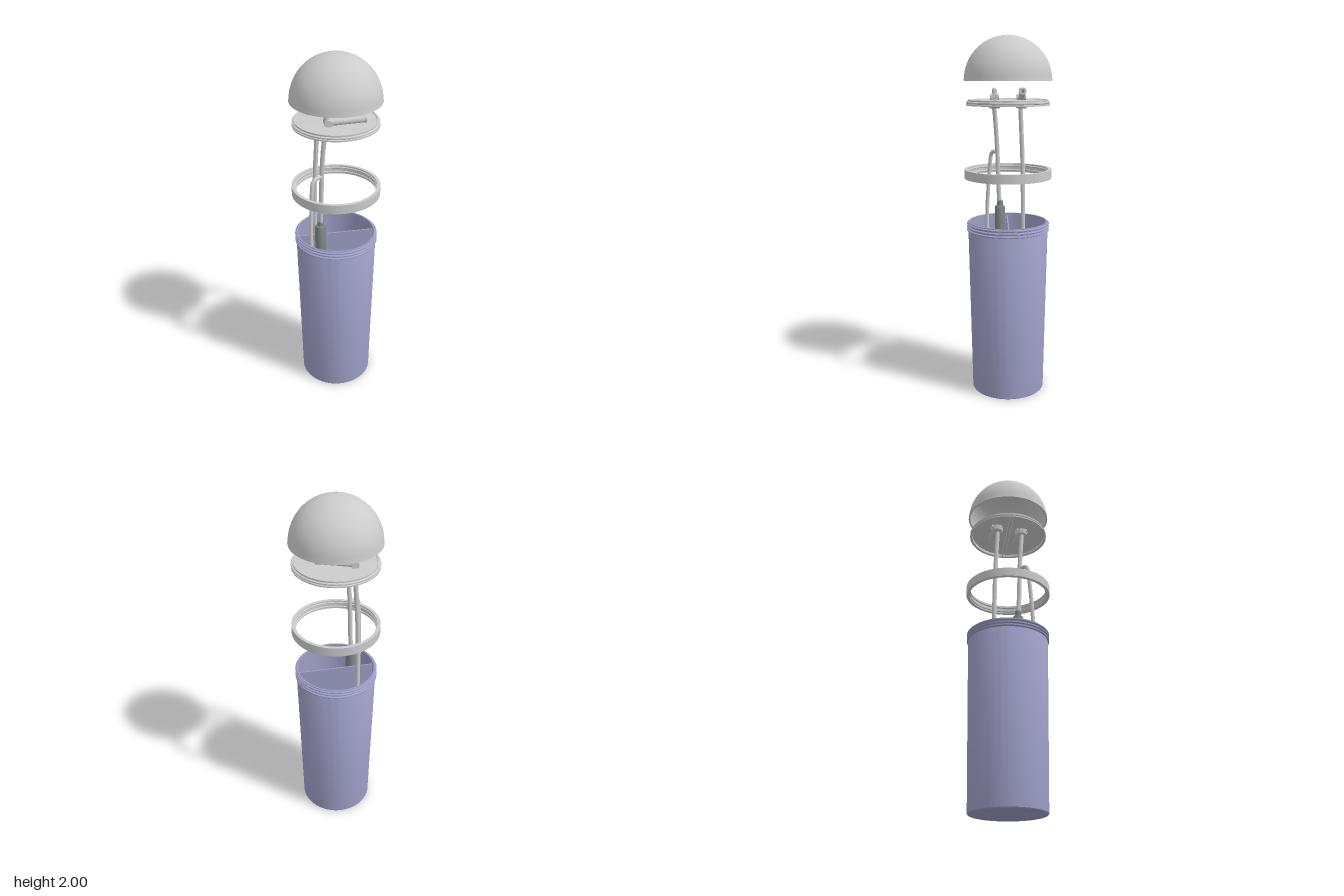
import * as THREE from 'three';
import { toCreasedNormals } from 'three/addons/utils/BufferGeometryUtils.js';

const V = (x, y, z) => new THREE.Vector3(x, y, z);
const grey = new THREE.MeshStandardMaterial({ color: 0xcccccc });
const blue = new THREE.MeshStandardMaterial({ color: 0x9c9cc4 });
const dark = new THREE.MeshStandardMaterial({ color: 0x7c8484 });

export function createModel() {
  const model = new THREE.Group();

  const add = (name, geometry, material = grey, parent = model) => {
    const mesh = new THREE.Mesh(geometry, material);
    mesh.name = name;
    parent.add(mesh);
    return mesh;
  };
  // Profiles run up the outside and down the inside
  const lathe = (points, sides = 72) => toCreasedNormals(
    new THREE.LatheGeometry(points.map(([r, y]) => new THREE.Vector2(r, y)), sides), 0.5);
  const tube = (name, points, radius) => add(name, new THREE.TubeGeometry(
    new THREE.CatmullRomCurve3(points, false, 'centripetal'), 64, radius, 14), grey);

  // Tapered cup with a threaded rim, open at the top
  const thread = [0.945, 0.962, 0.979].flatMap(y => [
    [0.221, y - 0.006], [0.230, y - 0.002], [0.230, y + 0.003], [0.221, y + 0.007]]);
  add('cup', lathe([
    [0, 0], [0.203, 0], [0.206, 0.004], [0.223, 0.935], ...thread,
    [0.221, 0.99], [0.212, 0.99], [0.211, 0.93], [0.195, 0.012], [0, 0.012]]), blue);

  // Wall that splits the cup into two compartments
  const turn = Math.PI / 6;
  const wallShape = new THREE.Shape([
    new THREE.Vector2(-0.197, 0.01), new THREE.Vector2(0.197, 0.01),
    new THREE.Vector2(0.213, 0.975), new THREE.Vector2(-0.213, 0.975)]);
  const wallGeometry = new THREE.ExtrudeGeometry(wallShape, { depth: 0.008, bevelEnabled: false });
  wallGeometry.translate(0, 0, -0.004);
  add('dividerWall', wallGeometry, blue).rotation.y = Math.PI / 2 - turn;

  // Locking ring with inner threads
  add('lockingRing', lathe([
    [0.222, 1.235], [0.240, 1.235], [0.240, 1.285], [0.222, 1.285],
    [0.222, 1.277], [0.217, 1.274], [0.217, 1.270], [0.222, 1.267],
    [0.222, 1.253], [0.217, 1.250], [0.217, 1.246], [0.222, 1.243], [0.222, 1.235]]));

  // Hollow dome cap
  const arc = (r, from, to) => Array.from({ length: 25 }, (_, i) => {
    const a = (from + (to - from) * i / 24) * Math.PI / 2;
    return [r * Math.cos(a), 1.762 + r * Math.sin(a)];
  });
  const outer = arc(0.238, 0, 1), inner = arc(0.230, 1, 0);
  add('domeCap', lathe([[0.230, 1.762], [0.240, 1.762], ...outer.slice(1), ...inner]));

  // Lid disc with a hollow skirt
  const lid = new THREE.Group();
  lid.name = 'lid';
  model.add(lid);
  add('lidDisc', lathe([
    [0, 1.648], [0.213, 1.648], [0.213, 1.632], [0.228, 1.632], [0.228, 1.639],
    [0.222, 1.641], [0.228, 1.645], [0.228, 1.651], [0.219, 1.654], [0.219, 1.662],
    [0.210, 1.662], [0.208, 1.658], [0, 1.658]]), grey, lid);

  // Paired ribs under the lid that grip the wall
  for (const side of [-1, 1]) {
    const rib = add('lidRib', new THREE.BoxGeometry(0.006, 0.016, 0.424), grey, lid);
    rib.position.set(side * 0.010 * Math.cos(turn), 1.641, side * 0.010 * Math.sin(turn));
    rib.rotation.y = -turn;
  }

  // Two drinking spouts, each with a hinge, a well and a straw collar
  const spouts = [
    { x: -0.105, z: 0.030, rise: 0.035 },
    { x: 0.035, z: 0.085, rise: 0.006 }];
  for (const { x, z, rise } of spouts) {
    const group = new THREE.Group();
    group.name = 'spout';
    group.position.set(x, 0, z);
    group.rotation.y = -turn;
    lid.add(group);

    const direction = V(0, rise, -0.18).normalize();
    const pipe = add('spoutPipe', lathe([
      [0.009, 0], [0.017, 0], [0.017, 0.188], [0.019, 0.190], [0.019, 0.198],
      [0.010, 0.198], [0.009, 0.190], [0.009, 0]], 24), grey, group);
    pipe.quaternion.setFromUnitVectors(V(0, 1, 0), direction);
    pipe.position.set(0, 1.672, 0);

    const pivot = add('spoutPivot', new THREE.CylinderGeometry(0.02, 0.02, 0.05, 24), grey, group);
    pivot.rotation.z = Math.PI / 2;
    pivot.position.y = 1.672;
    const knob = add('spoutKnob', new THREE.CapsuleGeometry(0.014, 0.045, 6, 16), grey, group);
    knob.position.set(0, 1.688, 0.006);

    const well = add('spoutWell', new THREE.BoxGeometry(0.062, 0.014, 0.16), grey, group);
    well.position.set(0, 1.641, -0.05);
    add('strawCollar', lathe([
      [0, 1.612], [0.026, 1.612], [0.035, 1.620], [0.037, 1.650], [0, 1.650]], 28), grey, group);
  }

  // Straws running from the lid into both compartments
  tube('leftStraw', [V(-0.135, 0.04, 0.05), V(-0.133, 0.6, 0.048), V(-0.130, 1.0, 0.046),
    V(-0.124, 1.3, 0.044), V(-0.112, 1.5, 0.040), V(-0.102, 1.63, 0.035)], 0.0125);
  tube('rightStraw', [V(-0.008, 1.04, 0.105), V(0.0, 1.2, 0.105),
    V(0.008, 1.4, 0.104), V(0.020, 1.54, 0.101), V(0.033, 1.63, 0.094)], 0.0125);

  // Side branch that bends over and drops into the cup
  tube('branchStraw', [V(0.007, 1.366, 0.105), V(0.008, 1.368, 0.140), V(0.009, 1.362, 0.160),
    V(0.010, 1.342, 0.171), V(0.012, 1.30, 0.177), V(0.018, 1.15, 0.190),
    V(0.022, 1.0, 0.197), V(0.020, 0.6, 0.185), V(0.018, 0.04, 0.172)], 0.011);

  // Valve at the foot of the right straw
  const valve = add('valve', lathe([
    [0, 0.84], [0.024, 0.84], [0.030, 0.85], [0.030, 1.045], [0.026, 1.058],
    [0.017, 1.062], [0.016, 1.09], [0, 1.09]], 20), dark);
  valve.position.set(-0.010, 0, 0.105);

  return model;
}
